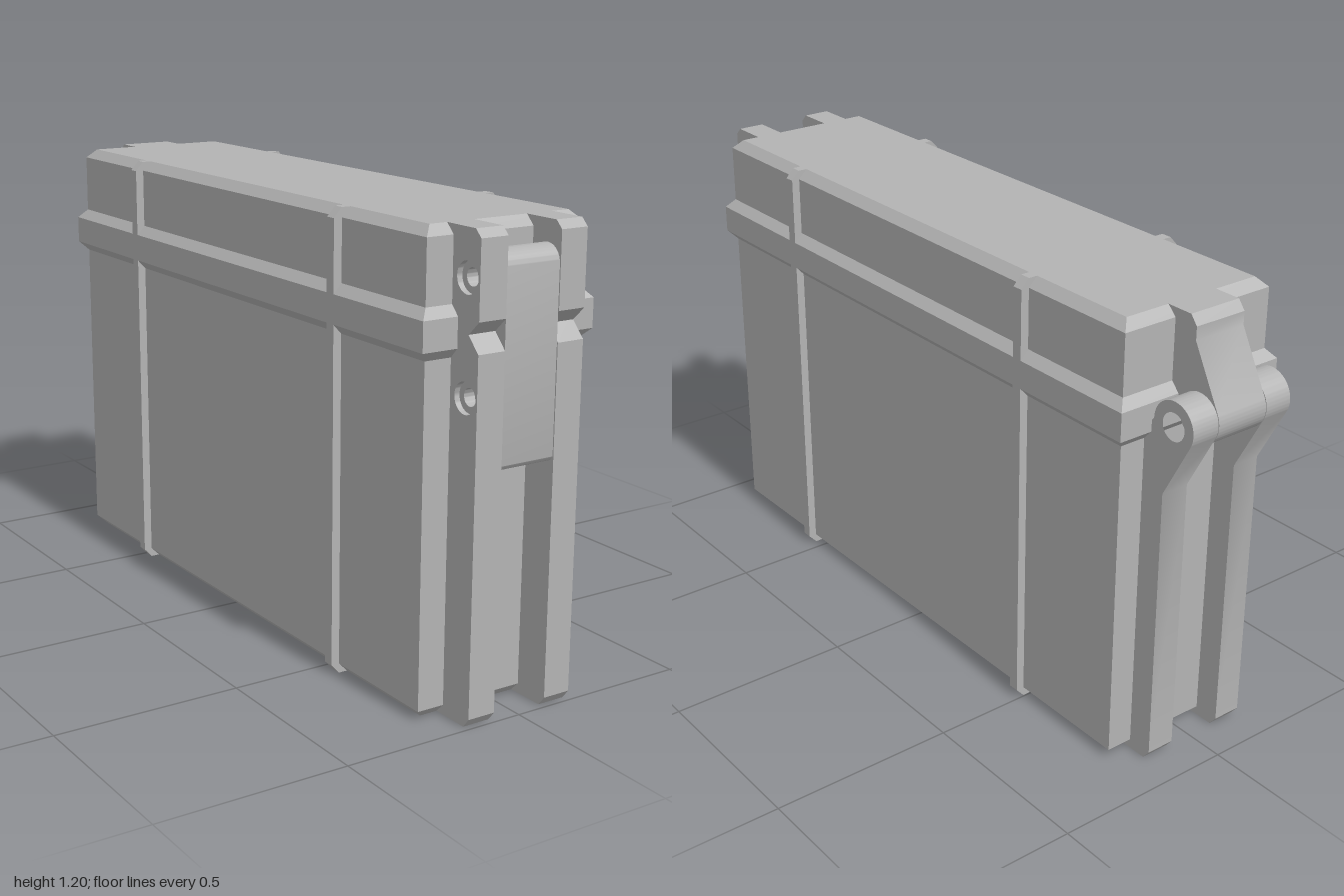
import * as THREE from 'three';
import { toCreasedNormals } from 'three/addons/utils/BufferGeometryUtils.js';

const grey = new THREE.MeshStandardMaterial({ color: 0xb3b3b3 });
grey.name = 'grey plastic';

// Closed stack of rectangles; each level is [y, outward offset from the wall]
function rectLoft(levels, halfX, zBack, zFront) {
  const rings = levels.map(([y, o]) => [
    [-halfX - o, y, zFront + o], [halfX + o, y, zFront + o],
    [halfX + o, y, zBack - o], [-halfX - o, y, zBack - o]]);
  const pos = [];
  const quad = (a, b, c, d) => pos.push(...a, ...b, ...c, ...a, ...c, ...d);
  for (let i = 0; i + 1 < rings.length; i++)
    for (let k = 0; k < 4; k++) {
      const n = (k + 1) % 4;
      quad(rings[i][k], rings[i][n], rings[i + 1][n], rings[i + 1][k]);
    }
  const top = rings[rings.length - 1];
  quad(...top);
  quad(...[...rings[0]].reverse());
  const g = new THREE.BufferGeometry();
  g.setAttribute('position', new THREE.Float32BufferAttribute(pos, 3));
  g.computeVertexNormals();
  return g;
}

// Extrude a (z, y) side profile from x0 to x1
function sideExtrude(shape, x0, x1) {
  const g = new THREE.ExtrudeGeometry(shape, { depth: x1 - x0, bevelEnabled: false, curveSegments: 24 });
  g.rotateY(-Math.PI / 2).translate(x1, 0, 0);
  return toCreasedNormals(g, 0.5);
}

const polygon = pts => new THREE.Shape(pts.map(p => new THREE.Vector2(...p)));

function drill(shape, z, y, r) {
  const hole = new THREE.Path();
  hole.absarc(z, y, r, 0, Math.PI * 2, true);
  shape.holes.push(hole);
  return shape;
}

export function createModel() {
  const model = new THREE.Group();
  model.name = 'hingedCase';
  const add = (name, geometry) => {
    const mesh = new THREE.Mesh(geometry, grey);
    mesh.name = name;
    model.add(mesh);
  };
  const c = 0.025, seam = 0.955;
  // Span on the +x side mirrored to -x when s is -1
  const span = (s, a, b) => (s > 0 ? [a, b] : [-b, -a]);

  // Base and lid with chamfered edges and a flange where they meet
  add('base', rectLoft([[0, -c], [c, 0], [0.89, 0], [0.915, c - 0.002], [seam, c - 0.002]], 0.23, -0.84, 0.9));
  add('lid', rectLoft([[seam, c - 0.002], [0.99, c - 0.002], [1.015, 0], [1.175, 0], [1.2, -c]], 0.23, -0.84, 0.9));

  // Vertical ribs on both sides
  for (const s of [1, -1])
    for (const z of [0.545, -0.481]) {
      const rib = polygon([[0.205, 0], [0.23, 0], [0.253, c], [0.253, 1.175], [0.23, 1.2], [0.205, 1.2]]
        .map(([x, y]) => [s * x, y]));
      const g = new THREE.ExtrudeGeometry(rib, { depth: 0.03, bevelEnabled: false });
      add('sideRib', g.translate(0, 0, z - 0.015));
    }

  // Front posts: notched at the seam, with counterbored pin holes
  const pinZ = 0.955, pinYs = [1.085, 0.805];
  const lowerPost = [[0.86, 0], [0.98, 0], [1, c], [1, 0.915], [0.963, seam], [0.86, seam]];
  const upperPost = [[0.86, seam], [0.963, seam], [1, 0.99], [1, 1.18], [0.98, 1.2], [0.86, 1.2]];
  for (const s of [1, -1])
    for (const [name, pts, y] of [['lidPost', upperPost, pinYs[0]], ['basePost', lowerPost, pinYs[1]]]) {
      add(name, sideExtrude(drill(polygon(pts), pinZ, y, 0.022), ...span(s, 0.078, 0.14)));
      add(name + 'Counterbore', sideExtrude(drill(polygon(pts), pinZ, y, 0.039), ...span(s, 0.14, 0.155)));
    }

  // Latch between the posts, rounded at both ends
  const latch = new THREE.Shape();
  latch.moveTo(0.907, 0.627);
  latch.lineTo(0.98, 0.627);
  latch.absarc(0.98, 0.645, 0.018, -Math.PI / 2, 0, false);
  latch.absarc(0.953, 1.1, 0.045, 0, Math.PI, false);
  latch.lineTo(0.907, 0.627);
  for (const y of pinYs) drill(latch, pinZ, y, 0.022);
  add('latch', sideExtrude(latch, -0.077, 0.077));

  // Rear hinge: two base arms around one lid arm
  const hz = -0.935, hr = 0.065, tangent = 2.651;
  const baseArm = polygon([[-0.8, 0], [-0.89, 0], [-0.91, c], [-0.91, 0.77]]);
  baseArm.absarc(hz, seam, hr, -tangent, -Math.PI * 2, true);
  baseArm.lineTo(-0.82, 0.89);
  drill(baseArm, hz, seam, 0.036);
  for (const s of [1, -1]) add('baseHingeArm', sideExtrude(baseArm, ...span(s, 0.078, 0.157)));

  const lidArm = polygon([[-0.8, 1.2], [-0.89, 1.2], [-0.91, 1.175], [-0.91, 1.14]]);
  lidArm.absarc(hz, seam, hr, tangent, Math.PI * 2, false);
  lidArm.lineTo(-0.82, 1.02);
  drill(lidArm, hz, seam, 0.036);
  add('lidHingeArm', sideExtrude(lidArm, -0.076, 0.076));

  return model;
}
